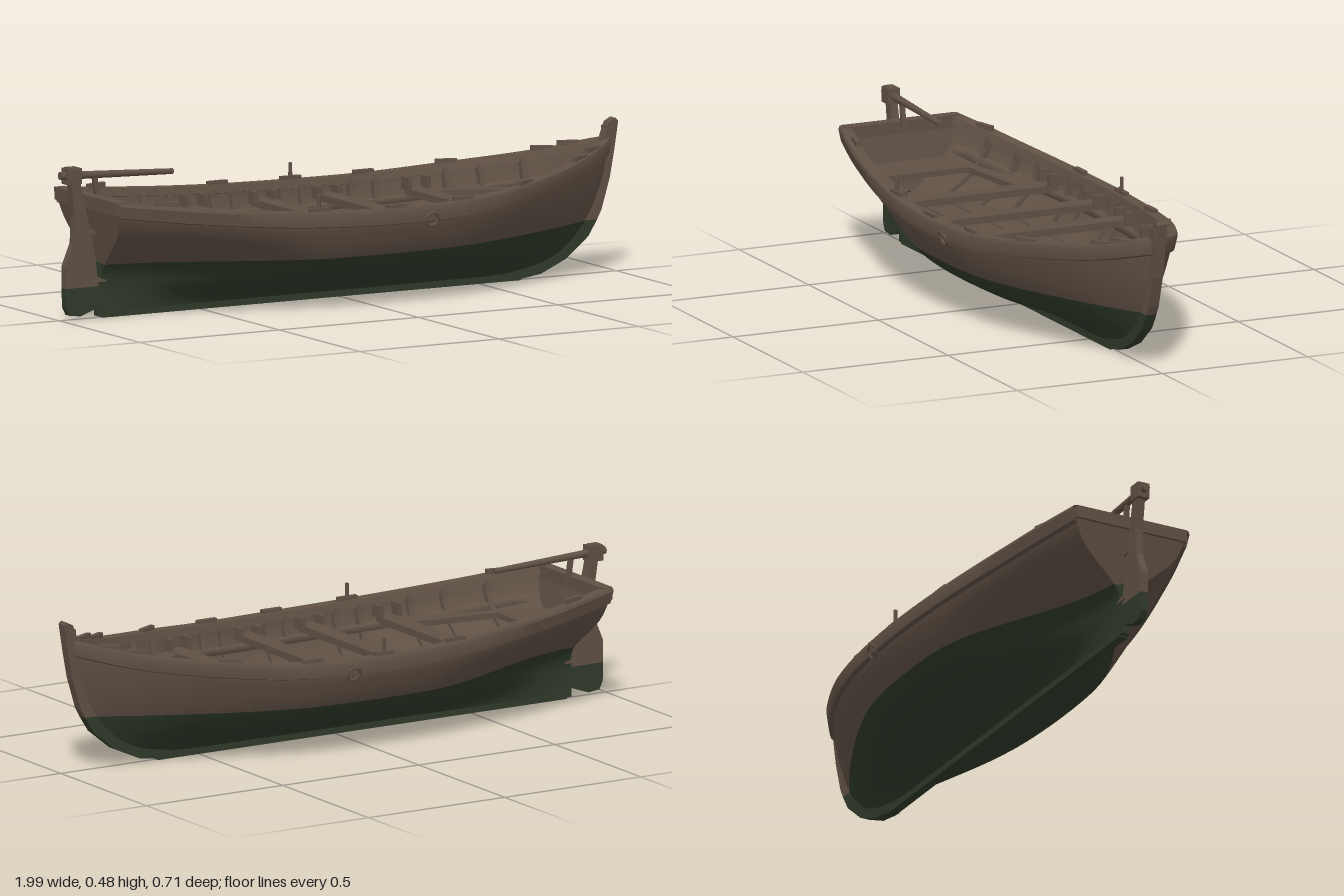
import * as THREE from 'three';
import { toCreasedNormals } from 'three/addons/utils/BufferGeometryUtils.js';

// Smooth interpolation through [x, value] pairs
function curve(p) {
  const n = p.length;
  const tan = p.map((_, i) => {
    const a = p[Math.max(0, i - 1)], b = p[Math.min(n - 1, i + 1)];
    return (b[1] - a[1]) / (b[0] - a[0]);
  });
  return (x) => {
    x = Math.min(p[n - 1][0], Math.max(p[0][0], x));
    let i = 0;
    while (i < n - 2 && x > p[i + 1][0]) i++;
    const h = p[i + 1][0] - p[i][0], t = (x - p[i][0]) / h, t2 = t * t, t3 = t2 * t;
    return (2 * t3 - 3 * t2 + 1) * p[i][1] + (t3 - 2 * t2 + t) * h * tan[i]
      + (3 * t2 - 2 * t3) * p[i + 1][1] + (t3 - t2) * h * tan[i + 1];
  };
}

// Hull lines: bow at +x, stern at -x
const AFT = -0.86, FORE = 0.965, WATER = 0.17, SOLE = 0.165;
const sheer = curve([[AFT, 0.385], [-0.6, 0.352], [-0.3, 0.328], [0, 0.318], [0.3, 0.322], [0.6, 0.35], [0.8, 0.38], [FORE, 0.422]]);
const beam = curve([[AFT, 0.195], [-0.7, 0.245], [-0.5, 0.29], [-0.3, 0.322], [-0.1, 0.339], [0.1, 0.338], [0.3, 0.317], [0.5, 0.268], [0.7, 0.185], [0.85, 0.1], [0.93, 0.047], [FORE, 0.015]]);
const keelY = curve([[AFT, 0.02], [0.4, 0.02], [0.55, 0.02], [0.68, 0.03], [0.78, 0.06], [0.86, 0.12], [0.91, 0.19], [0.945, 0.27], [FORE, 0.36]]);
const midShape = curve([[0, 0.04], [0.05, 0.1], [0.12, 0.25], [0.18, 0.43], [0.24, 0.58], [0.46, 0.82], [0.78, 0.97], [1, 1]]);
const sternShape = curve([[0, 0.06], [0.28, 0.09], [0.42, 0.22], [0.55, 0.5], [0.7, 0.8], [0.85, 0.95], [1, 1]]);
const bowShape = curve([[0, 0.05], [0.2, 0.32], [0.45, 0.62], [0.7, 0.83], [1, 1]]);

function half(x, y) {
  const k = keelY(x), v = Math.min(1, Math.max(0, (y - k) / (sheer(x) - k)));
  const s = THREE.MathUtils.smoothstep(-x, 0.15, 0.86), b = THREE.MathUtils.smoothstep(x, 0.2, 0.85);
  return beam(x) * (midShape(v) * (1 - s - b) + sternShape(v) * s + bowShape(v) * b);
}
const inner = (x, y) => Math.max(0.001, half(x, y) - 0.018);

// Rakes the transom aft above the waterline
function raked(x, y, z) {
  const r = 0.04 * Math.max(0, (y - WATER) / 0.21) * Math.max(0, (-x - 0.6) / 0.26);
  return [x - r, y, z];
}

// Surface from a function of u and v
function grid(nu, nv, f) {
  const pos = [], idx = [];
  for (let i = 0; i <= nu; i++) for (let j = 0; j <= nv; j++) pos.push(...f(i / nu, j / nv));
  for (let i = 0; i < nu; i++) for (let j = 0; j < nv; j++) {
    const a = i * (nv + 1) + j, b = a + nv + 1;
    idx.push(a, b, a + 1, b, b + 1, a + 1);
  }
  const g = new THREE.BufferGeometry();
  g.setAttribute('position', new THREE.Float32BufferAttribute(pos, 3));
  g.setIndex(idx);
  g.computeVertexNormals();
  return g;
}

export function createModel() {
  const boat = new THREE.Group();
  boat.name = 'rowingBoat';
  const wood = new THREE.MeshStandardMaterial({ color: 0x605145, side: THREE.DoubleSide });
  wood.name = 'weathered brown wood';
  const paint = new THREE.MeshStandardMaterial({ color: 0x2f3a29, side: THREE.DoubleSide });
  paint.name = 'dark green bottom paint';

  const add = (name, geo, mat = wood) => {
    const m = new THREE.Mesh(geo, mat);
    m.name = name;
    boat.add(m);
    return m;
  };
  const box = (name, w, h, d, x, y, z) => {
    const m = add(name, new THREE.BoxGeometry(w, h, d));
    m.position.set(x, y, z);
    return m;
  };
  const slab = (pts, depth) => new THREE.ExtrudeGeometry(
    new THREE.Shape(pts.map((p) => new THREE.Vector2(...p))), { depth, bevelEnabled: false });
  // Horizontal board whose two long edges follow functions of x
  const board = (name, x0, x1, y, t, zA, zB) => {
    const a = [], b = [];
    for (let i = 0; i <= 16; i++) {
      const x = x0 + (x1 - x0) * i / 16;
      a.push([x, zA(x)]);
      b.unshift([x, zB(x)]);
    }
    const g = slab([...a, ...b], t);
    g.rotateX(Math.PI / 2);
    add(name, g).position.y = y;
  };
  const station = (u) => AFT + (FORE - AFT) * u;

  // Gunwale cross-section: outward offset, drop below the sheer, inside flag
  const rail = [[0, -0.05], [0.013, -0.046], [0.013, -0.008], [0.007, 0.002], [-0.03, 0.002], [-0.034, -0.022], [-0.015, -0.026], [0, -0.05]];
  for (const s of [1, -1]) {
    // Outer planking above and below the waterline
    add('lowerHull', grid(72, 16, (u, v) => {
      const x = station(u), k = keelY(x), y = k + Math.max(0, WATER - k) * Math.pow(v, 1.2);
      return raked(x, y, s * half(x, y));
    }), paint);
    add('upperHull', grid(72, 10, (u, v) => {
      const x = station(u), k = Math.max(WATER, keelY(x)), y = k + (sheer(x) - k) * v;
      return raked(x, y, s * half(x, y));
    }));
    // Inner lining
    add('hullLining', grid(60, 8, (u, v) => {
      const x = station(u), k = Math.max(SOLE - 0.02, keelY(x)), y = k + (sheer(x) - 0.005 - k) * v;
      return raked(x, y, s * inner(x, y));
    }));
    add('gunwale', toCreasedNormals(grid(60, rail.length - 1, (u, v) => {
      const x = station(u), [dz, dy] = rail[Math.round(v * (rail.length - 1))], y = sheer(x) + dy;
      return raked(x, y, s * Math.max(0.001, half(x, y) + dz));
    }), 0.6));

    // Ribs following the lining
    for (const x of [-0.7, -0.56, -0.45, -0.28, -0.2, -0.02, 0.05, 0.22, 0.3, 0.52, 0.62, 0.74]) {
      const a = [], b = [], top = sheer(x) - 0.012;
      for (let i = 0; i <= 6; i++) {
        const y = SOLE - 0.01 + (top - SOLE + 0.01) * i / 6, z = s * inner(x, y);
        a.push([-z - s * 0.004, y]);
        b.unshift([-z + s * 0.016, y]);
      }
      const g = slab([...a, ...b], 0.02);
      g.rotateY(Math.PI / 2);
      add('rib', g).position.x = x - 0.01;
    }
    // Stringer that carries the thwarts
    add('stringer', grid(40, 4, (u, v) => {
      const x = -0.8 + 1.6 * u, q = Math.round(v * 4) % 4, y = sheer(x) - 0.075 - (q > 1 ? 0.02 : 0);
      return raked(x, y, s * Math.max(0.001, inner(x, y) - (q === 1 || q === 2 ? 0.018 : 0)));
    }));
    // Side arms of the stern and bow benches
    board('sternSideBench', -0.69, -0.36, 0.265, 0.018,
      (x) => s * (0.14 + 0.12 * (x + 0.69)), (x) => s * inner(x, 0.255));
    board('bowSideBench', 0.42, 0.66, 0.27, 0.018,
      (x) => s * Math.min(inner(x, 0.26), 0.2 - 0.4 * (x - 0.42)), (x) => s * inner(x, 0.26));

    // Blocks and cleats along the rail
    for (const x of [-0.74, -0.25, 0.02, 0.27, 0.53, 0.8, 0.87]) {
      box('railBlock', 0.07, 0.016, 0.016, x, sheer(x) + 0.006, s * (half(x, 1) - 0.012)).rotation.y = s * (x > 0.4 ? 0.45 : x < -0.5 ? -0.25 : 0);
    }
    // Rope becket on the side
    const z = half(0.14, 0.28) + 0.012;
    const ring = add('ropeLoop', new THREE.TorusGeometry(0.022, 0.005, 6, 16));
    ring.position.set(0.14, 0.277, s * z);
    ring.rotation.x = s * 0.35;
    box('ropeKnot', 0.035, 0.012, 0.016, 0.14, 0.298, s * z).rotation.z = 0.5;
    // Rowlock pin
    const px = s > 0 ? -0.25 : 0.02;
    const pin = add('rowlockPin', new THREE.CylinderGeometry(0.006, 0.007, 0.07, 8));
    pin.position.set(px, sheer(px) + 0.02, s * (half(px, 1) - 0.012));
    // Thwart knees
    for (const x of [-0.365, -0.1, 0.13, 0.42]) for (const d of [-0.034, 0.034]) {
      box('thwartKnee', 0.014, 0.04, 0.045, x + d, sheer(x) - 0.04, s * (inner(x, 0.28) - 0.022));
    }
  }

  // Transom, painted below the waterline, with an inner face and cap
  const transom = (dx, y0, y1) => grid(16, 12, (u, v) => {
    const y = y0 + (y1 - y0) * v, p = raked(AFT, y, (u * 2 - 1) * half(AFT, y));
    return [p[0] + dx, p[1], p[2]];
  });
  add('lowerTransom', transom(0, 0.02, WATER), paint);
  add('upperTransom', transom(0, WATER, 0.385));
  add('transomLining', transom(0.025, WATER, 0.38));
  box('transomCap', 0.036, 0.04, 0.39, -0.886, 0.368, 0);

  // Sole and floorboards
  board('sole', -0.84, 0.88, SOLE, 0.01, (x) => -inner(x, SOLE), (x) => inner(x, SOLE));
  for (let i = -2; i <= 2; i++) {
    const c = i * 0.095, reach = Math.abs(i) * 0.1;
    const edge = (e) => (x) => Math.sign(e) * Math.min(Math.abs(e), inner(x, SOLE));
    board('floorboard', -0.72 + reach, 0.68 - reach, SOLE + 0.012, 0.012, edge(c - 0.045), edge(c + 0.045));
  }
  // End benches and thwarts
  board('sternBench', -0.85, -0.69, 0.265, 0.018, (x) => -inner(x, 0.255), (x) => inner(x, 0.255));
  board('bowBench', 0.66, 0.92, 0.27, 0.018, (x) => -inner(x, 0.26), (x) => inner(x, 0.26));
  for (const x of [-0.365, -0.1, 0.13, 0.42]) {
    box('thwart', 0.062, 0.022, 2 * inner(x, 0.26), x, 0.262, 0);
  }

  // Keel and sternpost
  add('keel', new THREE.BoxGeometry(1.5, 0.04, 0.028), paint).position.set(-0.1, 0.02, 0);
  add('sternpost', new THREE.BoxGeometry(0.024, 0.17, 0.028), paint).position.set(-0.855, 0.09, 0);

  // Stem in two colours, split at the waterline
  const stem = (name, pts, mat) => add(name, slab(pts, 0.034), mat).position.z = -0.017;
  stem('lowerStem', [[0.62, 0], [0.72, 0.015], [0.81, 0.055], [0.89, 0.12], [0.921, WATER], [0.86, WATER], [0.82, 0.13], [0.74, 0.08], [0.62, 0.04]], paint);
  stem('upperStem', [[0.921, WATER], [0.937, 0.2], [0.967, 0.3], [0.982, 0.38], [0.997, 0.475], [0.988, 0.484], [0.965, 0.472], [0.945, 0.42], [0.92, 0.3], [0.885, 0.21], [0.86, WATER]], wood);
  box('stemCollar', 0.03, 0.022, 0.046, 0.973, 0.448, 0);

  // Rudder with painted foot
  const rudder = (name, pts, mat) => add(name, slab(pts, 0.026), mat).position.z = -0.013;
  rudder('rudderBlade', [[-0.975, 0.48], [-0.94, 0.48], [-0.925, 0.4], [-0.9, 0.3], [-0.878, 0.2], [-0.866, 0.1], [-0.984, 0.1], [-0.984, 0.17], [-0.955, 0.24], [-0.95, 0.33], [-0.965, 0.43]], wood);
  rudder('rudderFoot', [[-0.866, 0.1], [-0.86, 0.035], [-0.93, 0.01], [-0.97, 0.015], [-0.982, 0.04], [-0.984, 0.1]], paint);
  box('rudderHead', 0.05, 0.05, 0.04, -0.955, 0.452, 0);
  for (const [x, y] of [[-0.885, 0.27], [-0.865, 0.12]]) box('rudderHinge', 0.05, 0.014, 0.036, x, y, 0);

  // Tiller and its rest
  const tiller = add('tiller', new THREE.CylinderGeometry(0.009, 0.013, 0.405, 8));
  tiller.rotation.z = -Math.PI / 2 - 0.04;
  tiller.position.set(-0.795, 0.447, 0);
  box('tillerRest', 0.014, 0.07, 0.014, -0.868, 0.41, 0).rotation.z = 0.15;
  return boat;
}
